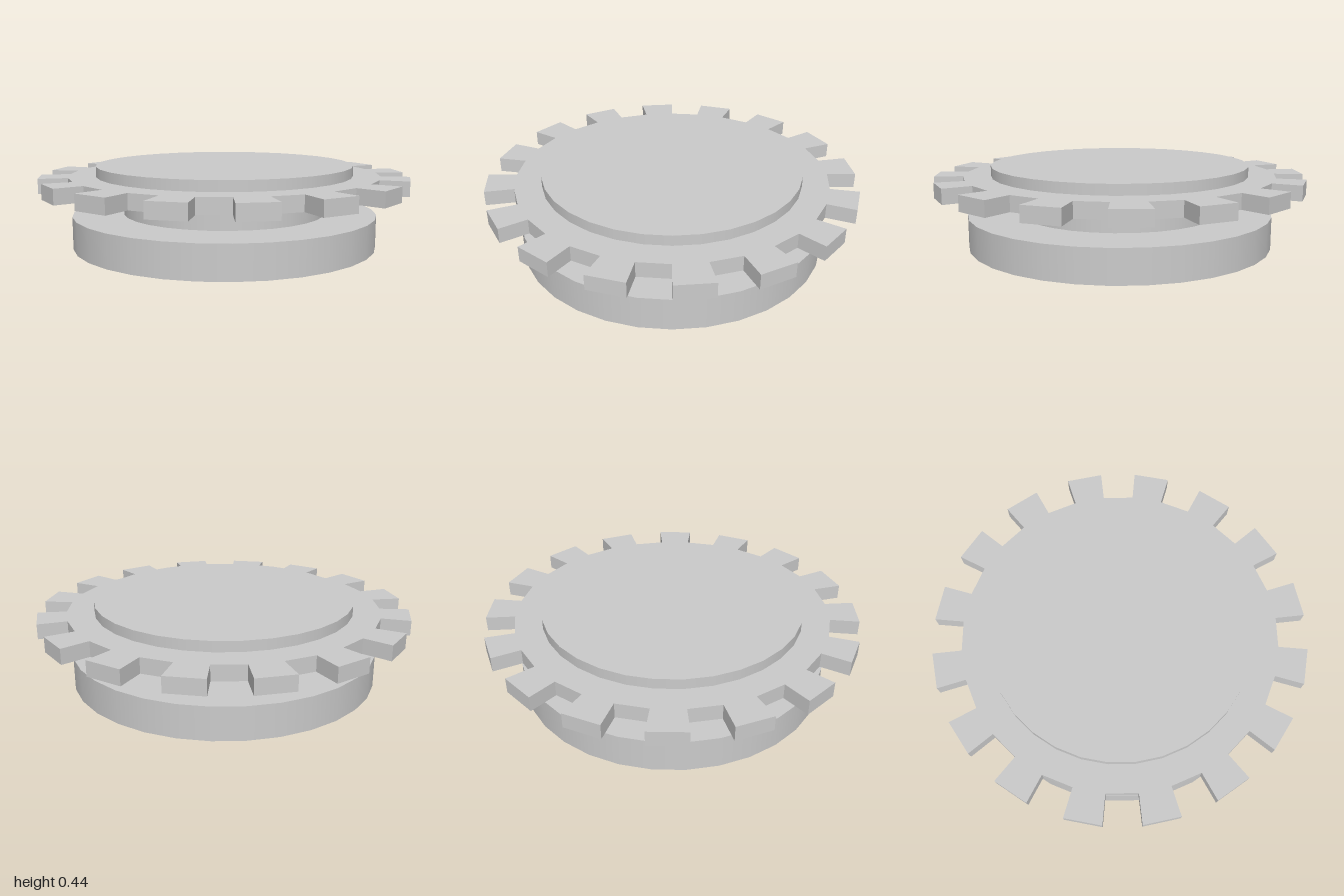
import * as THREE from 'three';

const SEGMENTS = 32;
const TEETH = 16;

export function createModel() {
  const group = new THREE.Group();
  const material = new THREE.MeshStandardMaterial({ color: 0xcccccc });

  const add = (name, geometry, y) => {
    const mesh = new THREE.Mesh(geometry, material);
    mesh.name = name;
    mesh.position.y = y;
    group.add(mesh);
  };
  const addDisc = (name, radius, bottom, top) =>
    add(name, new THREE.CylinderGeometry(radius, radius, top - bottom, SEGMENTS), (bottom + top) / 2);

  // Stacked round parts
  addDisc('baseDisc', 0.83, 0, 0.175);
  addDisc('neck', 0.555, 0.175, 0.305);
  addDisc('topDisc', 0.7, 0.385, 0.44);

  // Toothed ring: radial-sided teeth alternating with equal gaps
  const outline = [];
  const step = Math.PI / TEETH;
  for (let i = 0; i < TEETH; i++) {
    const start = i * 2 * step;
    const end = start + step;
    for (const [r, a] of [[0.845, start], [1, start], [1, end], [0.845, end]]) {
      outline.push(new THREE.Vector2(r * Math.cos(a), r * Math.sin(a)));
    }
  }
  const gear = new THREE.ExtrudeGeometry(new THREE.Shape(outline), { depth: 0.08, bevelEnabled: false });
  gear.rotateX(-Math.PI / 2);
  add('gearWheel', gear, 0.305);

  return group;
}
